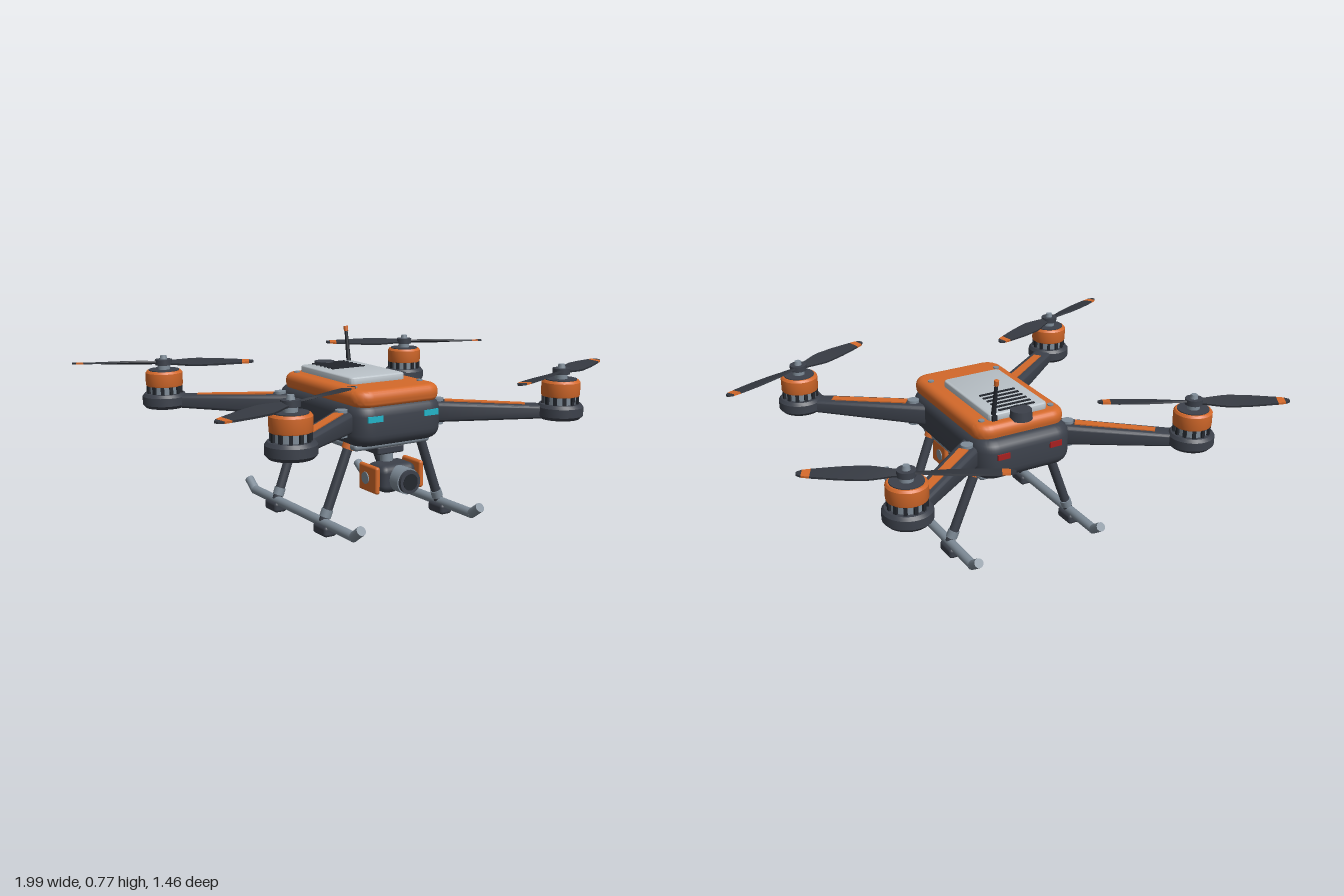
import * as THREE from 'three';
import { toCreasedNormals } from 'three/addons/utils/BufferGeometryUtils.js';
import { RoundedBoxGeometry } from 'three/addons/geometries/RoundedBoxGeometry.js';

const paint = (name, color) => {
  const m = new THREE.MeshStandardMaterial({ color });
  m.name = name;
  return m;
};
const charcoal = paint('charcoal', 0x3c414b);
const black = paint('black', 0x23272e);
const bladeGrey = paint('bladeGrey', 0x343840);
const orange = paint('orange', 0xd4692a);
const steel = paint('steel', 0x7f8c98);
const silver = paint('silver', 0xbac2c8);
const cyan = paint('cyan', 0x22b4c8);
const red = paint('red', 0xa82020);

const MID = 0.015; // z of the airframe centre
const lerp = THREE.MathUtils.lerp;

function add(parent, name, geo, mat, x = 0, y = 0, z = 0) {
  const m = new THREE.Mesh(geo, mat);
  m.name = name;
  m.position.set(x, y, z);
  parent.add(m);
  return m;
}
const box = (w, h, d) => new THREE.BoxGeometry(w, h, d);
const rbox = (w, h, d, r) => new RoundedBoxGeometry(w, h, d, 3, r);
const cyl = (r, h, n = 24, r2 = r) => new THREE.CylinderGeometry(r2, r, h, n);

// Round bar between two points
function rod(parent, name, a, b, r, mat, r2 = r) {
  const p = new THREE.Vector3(...a), q = new THREE.Vector3(...b);
  const m = add(parent, name, cyl(r, p.distanceTo(q), 16, r2), mat);
  m.position.copy(p).lerp(q, 0.5);
  m.quaternion.setFromUnitVectors(new THREE.Vector3(0, 1, 0), q.sub(p).normalize());
  return m;
}

// Rounded slab lying flat, base at y = 0
function slab(w, d, h, r, bevel) {
  const x = w / 2 - bevel, y = d / 2 - bevel;
  const s = new THREE.Shape();
  s.absarc(x - r, y - r, r, 0, Math.PI / 2);
  s.absarc(-x + r, y - r, r, Math.PI / 2, Math.PI);
  s.absarc(-x + r, -y + r, r, Math.PI, Math.PI * 1.5);
  s.absarc(x - r, -y + r, r, Math.PI * 1.5, Math.PI * 2);
  s.closePath();
  const g = new THREE.ExtrudeGeometry(s, {
    depth: h - 2 * bevel, bevelThickness: bevel, bevelSize: bevel, bevelSegments: 5, curveSegments: 6,
  });
  g.rotateX(-Math.PI / 2).translate(0, bevel, 0);
  return toCreasedNormals(g, 0.6);
}

function moveVertices(geo, rule) {
  const p = geo.attributes.position, v = new THREE.Vector3();
  for (let i = 0; i < p.count; i++) {
    rule(v.fromBufferAttribute(p, i));
    p.setXYZ(i, v.x, v.y, v.z);
  }
  geo.computeVertexNormals();
  return geo;
}

const lathe = (pts) =>
  toCreasedNormals(new THREE.LatheGeometry(pts.map((p) => new THREE.Vector2(...p)), 32), 0.5);

// Arm pieces: x runs from the motor to the body, getting taller and wider
const ARM = 0.6;
const armTaper = (geo) => moveVertices(geo, (v) => {
  const t = v.x / ARM;
  v.y = lerp(lerp(0.44, 0.41, t), lerp(0.489, 0.503, t), v.y * 10 + 0.5);
  v.z *= lerp(0.8, 1.0, t);
});

// Twisted blade piece between two fractions of the radius
const BLADE = 0.387;
const WIDTHS = [[0, 0.032], [0.12, 0.036], [0.35, 0.073], [0.6, 0.07], [0.85, 0.052], [0.95, 0.04], [1, 0.016]];
function chord(t) {
  let i = 1;
  while (i < WIDTHS.length - 1 && t > WIDTHS[i][0]) i++;
  const [a, wa] = WIDTHS[i - 1], [b, wb] = WIDTHS[i];
  return lerp(wa, wb, (t - a) / (b - a));
}
function bladePiece(t0, t1, spin) {
  const g = new THREE.BoxGeometry(t1 - t0, 0.008, 1, 10, 1, 2).translate((t0 + t1) / 2, 0, 0);
  return moveVertices(g, (v) => {
    const t = v.x, a = spin * lerp(0.38, 0.08, t), z = v.z * chord(t), y = v.y;
    v.set(t * BLADE, y * Math.cos(a) - z * Math.sin(a), y * Math.sin(a) + z * Math.cos(a));
  });
}

function makeCorner(sx, sz) {
  const g = new THREE.Group();
  g.name = 'armAssembly';
  g.position.set(sx * 0.636, 0, MID + sz * 0.555);

  const arm = new THREE.Group();
  arm.name = 'arm';
  arm.rotation.y = Math.atan2(sz * 0.335, -sx * 0.436);
  g.add(arm);
  add(arm, 'armBeam', toCreasedNormals(armTaper(rbox(ARM, 0.1, 0.1, 0.02).translate(ARM / 2, 0, 0)), 0.6), charcoal);
  add(arm, 'armStripe', armTaper(box(0.33, 0.012, 0.042).translate(0.31, 0.05, 0)), orange);
  add(arm, 'hingePin', cyl(0.025, 0.11, 20), steel, 0.505, 0.457, 0);

  // Motor
  add(g, 'motorPod', lathe([[0, 0.436], [0.082, 0.436], [0.095, 0.45], [0.095, 0.485], [0.085, 0.498], [0, 0.498]]), charcoal);
  add(g, 'stator', cyl(0.068, 0.05), steel, 0, 0.515, 0);
  for (let i = 0; i < 12; i++) {
    const a = (i / 12) * Math.PI * 2;
    add(g, 'statorTooth', box(0.02, 0.04, 0.014), black, Math.cos(a) * 0.067, 0.515, Math.sin(a) * 0.067).rotation.y = -a;
  }
  add(g, 'motorBell', lathe([[0, 0.53], [0.077, 0.53], [0.079, 0.535], [0.079, 0.587], [0.072, 0.596], [0, 0.596]]), orange);
  add(g, 'motorCap', cyl(0.065, 0.01, 32), charcoal, 0, 0.595, 0);
  add(g, 'shaft', cyl(0.026, 0.03), steel, 0, 0.612, 0);

  // Propeller
  const prop = new THREE.Group();
  prop.name = 'propeller';
  prop.position.y = 0.629;
  prop.rotation.y = sz < 0 ? -Math.atan2(0.18, 0.34) : Math.atan2(0.15, 0.357);
  g.add(prop);
  add(prop, 'hub', cyl(0.036, 0.024), charcoal, 0, 0.002, 0);
  add(prop, 'hubNut', cyl(0.017, 0.02, 16, 0.013), steel, 0, 0.021, 0);
  for (const turn of [0, Math.PI]) {
    const blade = new THREE.Group();
    blade.name = 'blade';
    blade.rotation.y = turn;
    prop.add(blade);
    add(blade, 'bladeInner', bladePiece(0.04, 0.87, sx * sz), bladeGrey);
    add(blade, 'bladeStripe', bladePiece(0.87, 0.95, sx * sz), orange);
    add(blade, 'bladeTip', bladePiece(0.95, 1, sx * sz), bladeGrey);
  }
  return g;
}

export function createModel() {
  const model = new THREE.Group();
  model.name = 'quadcopter';

  // Body
  add(model, 'hull', slab(0.435, 0.68, 0.175, 0.035, 0.05), charcoal, 0, 0.36, MID);
  add(model, 'topShell', slab(0.412, 0.63, 0.073, 0.04, 0.03), orange, 0, 0.515, 0.033);
  add(model, 'batteryHatch', slab(0.268, 0.415, 0.045, 0.012, 0.01), silver, 0, 0.571, -0.03);
  for (let i = 0; i < 6; i++) add(model, 'vent', box(0.165, 0.006, 0.011), black, 0, 0.617, -0.055 - i * 0.032);
  add(model, 'positionPuck', cyl(0.048, 0.04, 32, 0.044), charcoal, 0, 0.6, -0.25);
  for (const x of [-0.16, 0.16]) for (const z of [-0.215, 0.24]) add(model, 'screw', cyl(0.013, 0.01, 16), steel, x, 0.588, z);

  // Antenna
  add(model, 'antennaBase', box(0.022, 0.03, 0.035), black, 0.113, 0.595, -0.225);
  rod(model, 'antennaRod', [0.113, 0.59, -0.225], [0.113, 0.75, -0.251], 0.011, black, 0.007);
  rod(model, 'antennaTip', [0.113, 0.745, -0.25], [0.113, 0.767, -0.254], 0.01, orange);

  // Lights
  for (const s of [-1, 1]) {
    add(model, 'headLight', box(0.07, 0.024, 0.009), cyan, s * 0.135, 0.477, 0.354);
    add(model, 'tailLight', box(0.055, 0.024, 0.009), red, s * 0.12, 0.47, -0.326);
  }

  // Arms with motors
  for (const sx of [-1, 1]) for (const sz of [-1, 1]) model.add(makeCorner(sx, sz));

  // Landing gear
  add(model, 'bellyPlate', rbox(0.37, 0.03, 0.535, 0.014), steel, 0, 0.352, 0.018);
  for (const s of [-1, 1]) {
    const x = s * 0.29, y = 0.047;
    rod(model, 'skid', [x, y, -0.38], [x, y, 0.44], 0.02, steel);
    rod(model, 'skidTipFront', [x, y - 0.004, 0.43], [x, 0.085, 0.49], 0.02, steel);
    rod(model, 'skidTipBack', [x, y - 0.004, -0.37], [x, 0.085, -0.43], 0.02, steel);
    for (const [zTop, zLow] of [[0.222, 0.212], [-0.186, -0.176]]) {
      const at = (t) => [s * lerp(0.172, 0.29, t), lerp(0.36, 0.05, t), lerp(zTop, zLow, t)];
      rod(model, 'leg', at(0), at(1), 0.02, charcoal);
      rod(model, 'legCollar', at(-0.02), at(0.07), 0.026, orange);
      rod(model, 'legSleeve', at(0.84), at(0.94), 0.024, steel);
      add(model, 'foot', rbox(0.06, 0.045, 0.1, 0.014), charcoal, x, 0.0225, zLow + Math.sign(zLow) * 0.01);
    }
  }

  // Camera on its gimbal
  const cam = new THREE.Group();
  cam.name = 'camera';
  model.add(cam);
  add(cam, 'gimbalMount', rbox(0.13, 0.034, 0.12, 0.008), charcoal, 0, 0.322, 0.21);
  add(cam, 'gimbalNeck', cyl(0.026, 0.06), steel, 0, 0.285, 0.235);
  add(cam, 'cameraBody', rbox(0.17, 0.112, 0.13, 0.03), charcoal, 0, 0.215, 0.27);
  const alongZ = (name, r, h, mat, z) => (add(cam, name, cyl(r, h, 32), mat, 0, 0.215, z).rotation.x = Math.PI / 2);
  alongZ('lensBarrel', 0.053, 0.07, steel, 0.355);
  alongZ('lensRing', 0.048, 0.02, charcoal, 0.395);
  alongZ('lensGlass', 0.034, 0.004, black, 0.405);
  for (const s of [-1, 1]) {
    add(cam, 'sidePlate', rbox(0.022, 0.112, 0.13, 0.01), orange, s * 0.107, 0.218, 0.27);
    add(cam, 'sideAxle', cyl(0.025, 0.05), steel, s * 0.097, 0.218, 0.258).rotation.z = Math.PI / 2;
  }
  return model;
}
